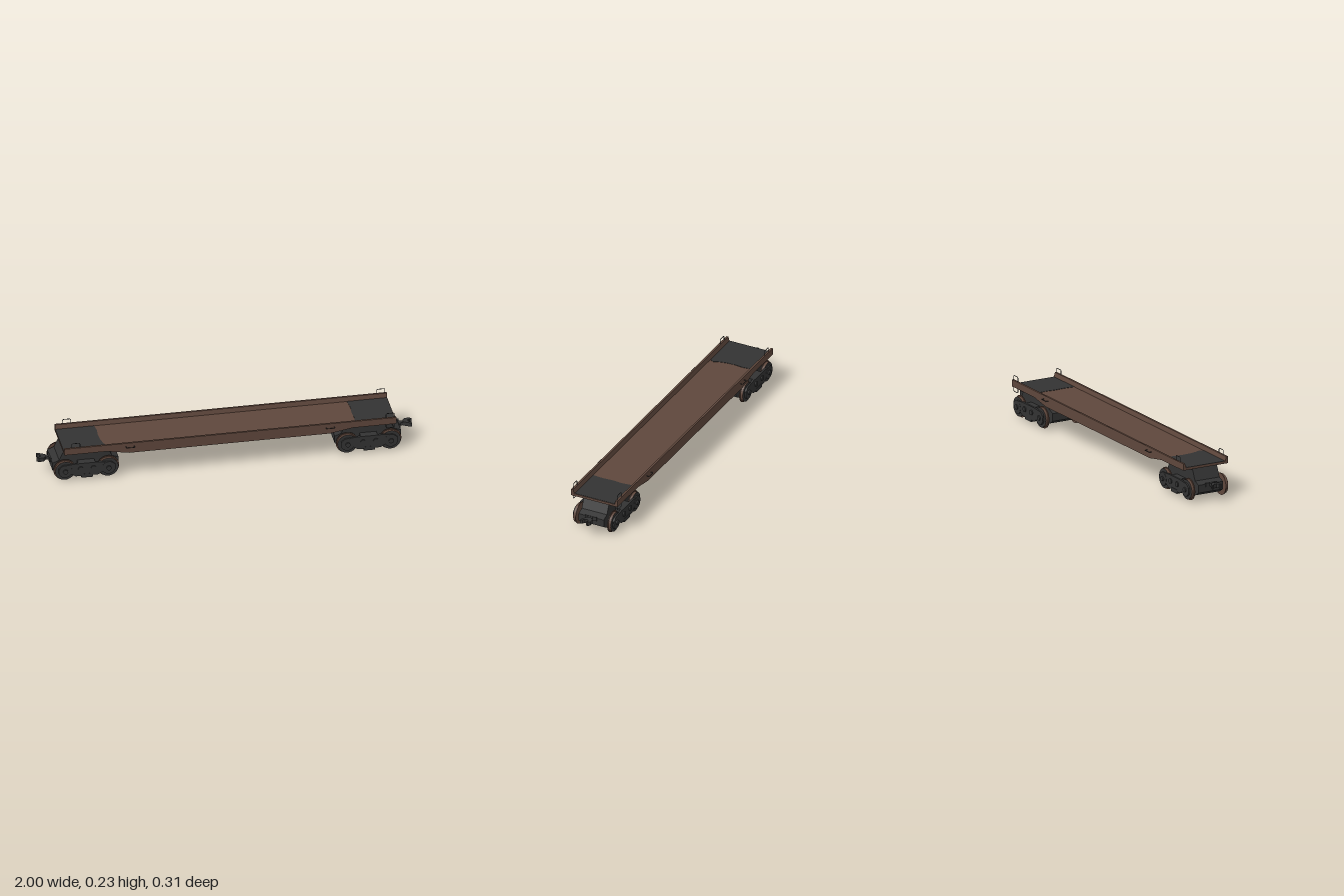
import * as THREE from 'three';

const brown = new THREE.MeshStandardMaterial({ color: 0x5f473c });
brown.name = 'rustBrown';
const dark = new THREE.MeshStandardMaterial({ color: 0x333333 });
dark.name = 'darkGrey';

function add(parent, name, geometry, material, x = 0, y = 0, z = 0) {
  const mesh = new THREE.Mesh(geometry, material);
  mesh.name = name;
  mesh.position.set(x, y, z);
  parent.add(mesh);
  return mesh;
}

// Extrude an outline along z, centred on z = 0
function slab(points, depth) {
  const shape = new THREE.Shape(points.map(([x, y]) => new THREE.Vector2(x, y)));
  const g = new THREE.ExtrudeGeometry(shape, { depth, bevelEnabled: false });
  return g.translate(0, 0, -depth / 2);
}

// Extrude an (x, z) plan upwards from y = 0
function plan(points, height) {
  const g = slab(points.map(([x, z]) => [x, -z]), height);
  return g.rotateX(-Math.PI / 2).translate(0, height / 2, 0);
}

const box = (w, h, d) => new THREE.BoxGeometry(w, h, d);
const disc = (r, d, seg = 32) => new THREE.CylinderGeometry(r, r, d, seg).rotateX(Math.PI / 2);

// Bent wire following straight runs between points
function wire(points, r = 0.0018) {
  const path = new THREE.CurvePath();
  const p = points.map((q) => new THREE.Vector3(...q));
  for (let i = 1; i < p.length; i++) path.add(new THREE.LineCurve3(p[i - 1], p[i]));
  return new THREE.TubeGeometry(path, 30, r, 6);
}

const X0 = -0.874, X1 = 0.89;

function makeDeck() {
  const deck = new THREE.Group();
  deck.name = 'deck';

  // Floor body, deeper between the bogies
  add(deck, 'deckBody', slab([
    [X0, 0.168], [-0.64, 0.168], [-0.53, 0.152], [0.53, 0.152], [0.65, 0.168],
    [X1, 0.168], [X1, 0.181], [X0, 0.181],
  ], 0.24), brown);

  for (const s of [1, -1]) {
    // Side sill following the fish-belly outline
    add(deck, 'sideSill', slab([
      [X0, 0.168], [-0.65, 0.168], [-0.53, 0.147], [0.54, 0.147], [0.66, 0.168],
      [X1, 0.168], [X1, 0.181], [X0, 0.181],
    ], 0.018), brown, 0, 0, s * 0.127);

    // Raised rail with a sloping inner face
    const outline = s > 0
      ? [[-0.136, 0.18], [-0.118, 0.18], [-0.125, 0.205], [-0.136, 0.205]]
      : [[0.118, 0.18], [0.136, 0.18], [0.136, 0.205], [0.125, 0.205]];
    const rail = slab(outline, X1 - X0).rotateY(Math.PI / 2);
    add(deck, 'sideRail', rail, brown, (X0 + X1) / 2);

    // Corner grab loops standing on the rails
    for (const x of [-0.812, 0.858]) {
      add(deck, 'grabLoop', wire([
        [x - 0.022, 0.2, s * 0.13], [x - 0.022, 0.226, s * 0.13], [x - 0.017, 0.23, s * 0.13],
        [x + 0.017, 0.23, s * 0.13], [x + 0.022, 0.226, s * 0.13], [x + 0.022, 0.2, s * 0.13],
      ]), dark);
    }
    add(deck, 'lowerStep', wire([
      [0.836, 0.17, s * 0.13], [0.836, 0.147, s * 0.13], [0.841, 0.144, s * 0.13],
      [0.875, 0.144, s * 0.13], [0.88, 0.147, s * 0.13], [0.88, 0.17, s * 0.13],
    ]), dark);

    // Horizontal handles on the sides
    for (const x of [-0.525, 0.538]) {
      add(deck, 'sideHandle', wire([
        [x - 0.022, 0.185, s * 0.134], [x - 0.022, 0.185, s * 0.151],
        [x + 0.022, 0.185, s * 0.151], [x + 0.022, 0.185, s * 0.134],
      ]), dark);
    }
    add(deck, 'underframeBeam', box(1.06, 0.005, 0.03), brown, 0, 0.1497, s * 0.104);
  }

  // Cross ribs framing the shallow panels underneath
  for (let i = 0; i <= 7; i++) {
    add(deck, 'crossRib', box(0.022, 0.005, 0.18), brown, -0.518 + i * 0.148, 0.1497, 0);
  }

  // Dark worn plates at both ends, with an uneven inner edge
  add(deck, 'endPlate', plan([
    [X0, -0.117], [-0.668, -0.117], [-0.662, -0.07], [-0.667, -0.02], [-0.664, 0.03],
    [-0.655, 0.07], [-0.643, 0.095], [-0.655, 0.117], [X0, 0.117],
  ], 0.002), dark, 0, 0.1805);
  add(deck, 'endPlate', plan([
    [X1 - 0.003, 0.117], [0.676, 0.117], [0.681, 0.06], [0.677, 0], [0.682, -0.05],
    [0.675, -0.117], [X1 - 0.003, -0.117],
  ], 0.002), dark, 0, 0.1805);
  return deck;
}

function makeWheelset() {
  const set = new THREE.Group();
  set.name = 'wheelset';
  add(set, 'axle', disc(0.008, 0.2, 16), dark);
  for (const s of [1, -1]) {
    add(set, 'wheelFlange', disc(0.059, 0.004), brown, 0, 0, s * 0.0945);
    add(set, 'wheelTread', disc(0.053, 0.014), brown, 0, 0, s * 0.103);
    add(set, 'wheelFace', disc(0.052, 0.002), dark, 0, 0, s * 0.1098);
    add(set, 'bearingCover', disc(0.036, 0.012), dark, 0, 0, s * 0.114);
    add(set, 'axleCap', disc(0.013, 0.012, 16), dark, 0, 0, s * 0.121);
  }
  return set;
}

// Bogie with its coupler pointing to +x
function makeBogie() {
  const bogie = new THREE.Group();
  bogie.name = 'bogie';

  add(bogie, 'bogieBody', slab([
    [-0.145, 0.03], [0.145, 0.03], [0.176, 0.05], [0.176, 0.092], [0.14, 0.106],
    [0.112, 0.168], [-0.112, 0.168], [-0.14, 0.106], [-0.176, 0.092], [-0.176, 0.05],
  ], 0.148), dark);

  for (const x of [-0.115, 0.115]) {
    const wheels = makeWheelset();
    wheels.position.set(x, 0.06, 0);
    bogie.add(wheels);
  }

  for (const s of [1, -1]) {
    // Side frame arching over the axles and dropping in the middle
    add(bogie, 'sideFrame', slab([
      [-0.15, 0.05], [-0.09, 0.045], [-0.06, 0.026], [0.06, 0.026], [0.09, 0.045], [0.15, 0.05],
      [0.15, 0.078], [0.12, 0.094], [0.06, 0.1], [-0.06, 0.1], [-0.12, 0.094], [-0.15, 0.078],
    ], 0.012), dark, 0, 0, s * 0.113);
    add(bogie, 'bolster', box(0.09, 0.045, 0.05), dark, 0, 0.075, s * 0.09);
    add(bogie, 'springPlank', box(0.06, 0.022, 0.03), dark, 0, 0.026, s * 0.105);
    for (const x of [-0.034, 0.034]) {
      add(bogie, 'springCover', disc(0.014, 0.008, 16), dark, x, 0.068, s * 0.121);
    }
  }

  // Coupler: pocket, shank and open hooked head
  add(bogie, 'couplerPocket', box(0.008, 0.022, 0.066), dark, 0.178, 0.088, 0);
  add(bogie, 'couplerShank', box(0.04, 0.016, 0.024), dark, 0.194, 0.09, 0);
  add(bogie, 'couplerHead', plan([
    [0.2, -0.012], [0.212, -0.026], [0.238, -0.028], [0.25, -0.018], [0.248, -0.008],
    [0.238, -0.014], [0.226, -0.006], [0.228, 0.01], [0.24, 0.018], [0.244, 0.03],
    [0.23, 0.028], [0.212, 0.018], [0.2, 0.012],
  ], 0.022), dark, 0, 0.08, 0);
  return bogie;
}

export function createModel() {
  const model = new THREE.Group();
  model.name = 'flatWagon';
  model.add(makeDeck());
  for (const s of [1, -1]) {
    const bogie = makeBogie();
    bogie.position.x = s * 0.75;
    if (s < 0) bogie.rotation.y = Math.PI;
    model.add(bogie);
  }
  return model;
}
